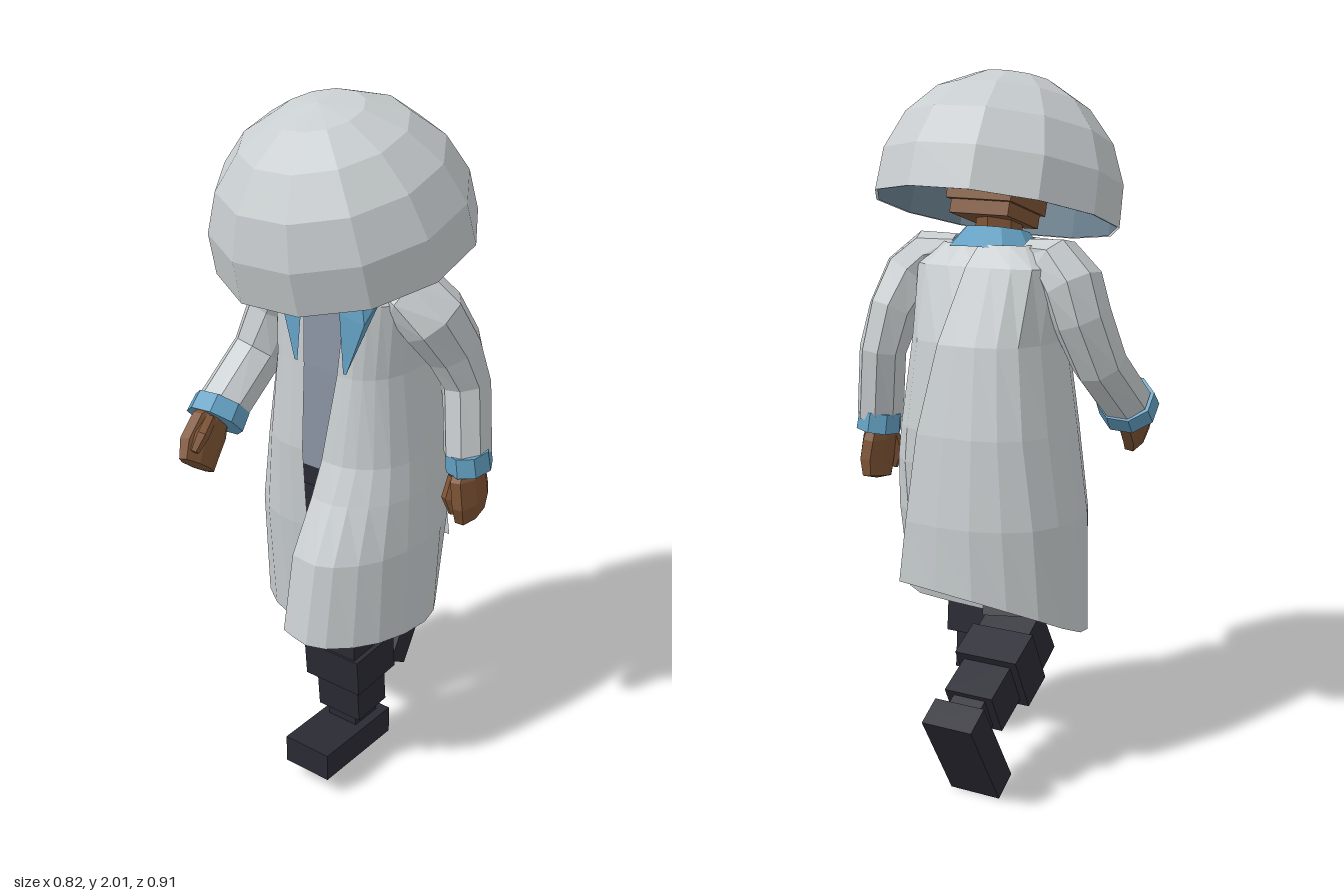
import * as THREE from 'three';

const mat = (name, color, side = THREE.FrontSide) =>
  new THREE.MeshStandardMaterial({ name, color, side, flatShading: true });
const V = (x, y, z) => new THREE.Vector3(x, y, z);

// Surface through rows of points; closed rows wrap round
function loft(rows, closed = false) {
  const n = rows[0].length, pos = [];
  const put = (...ps) => ps.forEach((p) => pos.push(p.x, p.y, p.z));
  for (let i = 0; i < rows.length - 1; i++) {
    for (let j = 0; j < (closed ? n : n - 1); j++) {
      const k = (j + 1) % n;
      const a = rows[i][j], b = rows[i][k], c = rows[i + 1][j], d = rows[i + 1][k];
      put(a, b, c, b, d, c);
    }
  }
  const g = new THREE.BufferGeometry();
  g.setAttribute('position', new THREE.Float32BufferAttribute(pos, 3));
  g.computeVertexNormals();
  return g;
}

// Rings [x, y, z, width radius, depth radius] swept along a path
function limb(rings, sides) {
  const pts = rings.map((r) => V(r[0], r[1], r[2]));
  return loft(rings.map((r, i) => {
    const t = pts[Math.min(i + 1, pts.length - 1)].clone().sub(pts[Math.max(i - 1, 0)]).normalize();
    const u = V(1, 0, 0).addScaledVector(t, -t.x).normalize();
    const v = t.clone().cross(u);
    return Array.from({ length: sides }, (_, j) => {
      const a = ((j + 0.5) / sides) * Math.PI * 2;
      return pts[i].clone().addScaledVector(u, Math.cos(a) * r[3]).addScaledVector(v, Math.sin(a) * r[4]);
    });
  }), true);
}

// Row of a coat panel: smooth line through [x, z, y?] points
function coatRow(y, pts) {
  const curve = new THREE.CatmullRomCurve3(pts.map((p) => V(p[0], p[2] ?? y, p[1])));
  return curve.getPoints(12);
}

export function createModel() {
  const root = new THREE.Group();
  root.name = 'walkingFigure';
  const D = THREE.DoubleSide;
  const coat = mat('coatGrey', 0xc8cdcf, D);
  const blue = mat('trimBlue', 0x64a1c4, D);
  const skin = mat('skinBrown', 0x7e5435, D);
  const dark = mat('trouserBlack', 0x2a2a34);
  const shirt = mat('shirtGrey', 0x8a93a3, D);
  const lining = mat('hatLining', 0x697f8e, D);

  const add = (name, geo, m, parent = root, p = [0, 0, 0]) => {
    const mesh = new THREE.Mesh(geo, m);
    mesh.name = name;
    mesh.position.set(...p);
    parent.add(mesh);
    return mesh;
  };
  const box = (name, w, h, d, m, parent, p) => add(name, new THREE.BoxGeometry(w, h, d), m, parent, p);

  // Domed hat with the head under it, tipped forward
  const head = new THREE.Group();
  head.name = 'head';
  head.position.set(0.025, 1.637, 0.106);
  head.rotation.set(0.27, 0, 0.02);
  root.add(head);
  const dome = (r) => new THREE.SphereGeometry(r, 12, 5, 0, Math.PI * 2, 0, 1.69).rotateY(Math.PI / 12 + 0.03);
  add('hat', dome(0.364), coat, head);
  add('hatLining', dome(0.357), lining, head);
  box('skull', 0.21, 0.25, 0.22, skin, head, [0, 0.1, -0.005]);
  box('jaw', 0.19, 0.07, 0.19, skin, head, [0, -0.03, -0.005]);
  for (const s of [-1, 1]) box('ear', 0.03, 0.06, 0.05, skin, head, [s * 0.11, 0.06, -0.01]);
  add('neck', new THREE.CylinderGeometry(0.065, 0.07, 0.16, 6), skin, root, [0.01, 1.55, 0.085]);

  // Coat: two open panels overlapping at the back vent
  const leftPanel = [
    coatRow(1.52, [[0.1, 0.17], [0.12, 0.16], [0.15, 0.12], [0.17, 0.06], [0.13, -0.02], [0, -0.045]]),
    coatRow(1.46, [[0.09, 0.19], [0.14, 0.18], [0.2, 0.13], [0.23, 0.04], [0.18, -0.07], [0, -0.08]]),
    coatRow(1.25, [[0.07, 0.2], [0.13, 0.195], [0.19, 0.14], [0.215, 0.02], [0.17, -0.13], [0, -0.165]]),
    coatRow(1.0, [[0.045, 0.24], [0.13, 0.235], [0.22, 0.17], [0.25, 0.02], [0.19, -0.16], [-0.01, -0.205]]),
    coatRow(0.9, [[0.04, 0.28], [0.13, 0.28], [0.235, 0.2], [0.265, 0.03], [0.2, -0.16], [-0.02, -0.205]]),
    coatRow(0.75, [[0.035, 0.36], [0.14, 0.365], [0.25, 0.25], [0.28, 0.04], [0.2, -0.15], [-0.04, -0.19]]),
    coatRow(0.5, [[0.03, 0.4, 0.52], [0.14, 0.41, 0.51], [0.26, 0.28], [0.29, 0.06, 0.485], [0.21, -0.08, 0.48], [-0.06, -0.13, 0.48]]),
  ].map((r) => r.reverse());
  const rightPanel = [
    coatRow(1.52, [[-0.07, 0.17], [-0.12, 0.16], [-0.15, 0.12], [-0.17, 0.06], [-0.13, -0.02], [-0.05, -0.048], [0, -0.05]]),
    coatRow(1.46, [[-0.05, 0.19], [-0.14, 0.18], [-0.2, 0.13], [-0.23, 0.04], [-0.18, -0.07], [-0.06, -0.09], [0.02, -0.09]]),
    coatRow(1.25, [[-0.045, 0.2], [-0.13, 0.195], [-0.19, 0.14], [-0.215, 0.02], [-0.17, -0.13], [-0.06, -0.18], [0.06, -0.18]]),
    coatRow(1.0, [[-0.04, 0.22], [-0.13, 0.215], [-0.225, 0.145], [-0.26, 0], [-0.205, -0.17], [-0.08, -0.235], [0.1, -0.23]]),
    coatRow(0.75, [[-0.035, 0.21], [-0.14, 0.21], [-0.26, 0.14], [-0.3, -0.01], [-0.245, -0.18], [-0.09, -0.265], [0.12, -0.26]]),
    coatRow(0.42, [[-0.03, 0.18, 0.385], [-0.14, 0.175, 0.39], [-0.275, 0.11, 0.4], [-0.318, -0.02, 0.42], [-0.26, -0.17, 0.49], [-0.1, -0.268, 0.55], [0.14, -0.265, 0.57]]),
  ];
  add('coatLeftPanel', loft(leftPanel), coat);
  add('coatRightPanel', loft(rightPanel), coat);

  // Shirt front
  add('shirt', loft([[1.53, 0.14], [1.46, 0.175], [1.25, 0.187], [0.94, 0.195]].map(([y, z]) =>
    [-0.12, -0.06, 0.07, 0.12].map((x, i) => V(x, y, z - (i % 3 ? 0 : 0.03))))), shirt);

  // Collar with two pointed flaps folded round the sides
  const collar = add('collar', new THREE.CylinderGeometry(0.095, 0.145, 0.065, 10, 1, true), blue, root, [0.015, 1.519, 0.078]);
  collar.rotation.x = 0.2;
  for (const s of [-1, 1]) {
    const px = (x) => 0.025 + s * x;
    add('collarFlap', loft([
      [V(px(0.065), 1.495, 0.215), V(px(0.125), 1.51, 0.195), V(px(0.165), 1.525, 0.13)],
      [V(px(0.065), 1.44, 0.213), V(px(0.142), 1.42, 0.205), V(px(0.168), 1.49, 0.165)],
      [V(px(0.08), 1.27, 0.217), V(px(0.09), 1.27, 0.217), V(px(0.142), 1.42, 0.205)],
    ]), blue);
  }

  // Sleeves with full shoulders
  add('leftSleeve', limb([
    [0.11, 1.5, 0.05, 0.04, 0.06], [0.2, 1.475, 0.045, 0.075, 0.1], [0.26, 1.41, 0.02, 0.09, 0.1],
    [0.29, 1.31, -0.04, 0.075, 0.09], [0.31, 1.2, -0.075, 0.068, 0.075], [0.335, 1.0, -0.055, 0.067, 0.077]], 8), coat);
  add('rightSleeve', limb([
    [-0.11, 1.5, 0.05, 0.04, 0.06], [-0.19, 1.475, 0.05, 0.075, 0.1], [-0.25, 1.41, 0.035, 0.09, 0.1],
    [-0.28, 1.32, 0.04, 0.085, 0.09], [-0.315, 1.19, 0.085, 0.08, 0.078], [-0.33, 1.06, 0.23, 0.082, 0.072]], 8), coat);

  // Cuffs and hands, built pointing down and turned to the forearm
  const hands = [
    { name: 'left', p: [0.338, 0.985, -0.055], rot: [0.06, 0.1, 0.1], w: 0.066, s: 1, twist: 0.4 },
    { name: 'right', p: [-0.33, 1.045, 0.25], rot: [-0.8, 0, 0.08], w: 0.087, s: -1, twist: 0 },
  ];
  for (const h of hands) {
    const g = new THREE.Group();
    g.name = h.name + 'Hand';
    g.position.set(...h.p);
    g.rotation.set(...h.rot);
    root.add(g);
    const cuff = add('cuff', new THREE.CylinderGeometry(1, 1.04, 0.058, 8).rotateY(Math.PI / 8), blue, g);
    cuff.scale.set(h.w, 1, 0.083);
    cuff.rotation.y = h.twist;
    add('palm', limb([
      [0, 0, 0, 0.03, 0.05], [0, -0.05, 0.012, 0.042, 0.08], [0, -0.12, 0.012, 0.042, 0.086],
      [-0.01 * h.s, -0.172, 0.004, 0.034, 0.075], [-0.01 * h.s, -0.18, 0.004, 0.001, 0.001]], 8), skin, g);
    add('thumb', limb([
      [-0.02 * h.s, -0.04, 0.05, 0.02, 0.02], [-0.035 * h.s, -0.1, 0.07, 0.022, 0.022],
      [-0.03 * h.s, -0.15, 0.065, 0.014, 0.014], [-0.03 * h.s, -0.152, 0.065, 0.001, 0.001]], 6), skin, g);
  }

  // Hips and thighs
  box('hips', 0.32, 0.1, 0.24, dark, root, [0, 0.9, 0.03]);
  add('leftThigh', limb([[0.1, 0.9, 0.05, 0.11, 0.12], [0.1, 0.65, 0.14, 0.11, 0.12], [0.1, 0.43, 0.18, 0.1, 0.1]], 4), dark);
  add('rightThigh', limb([[-0.09, 0.9, 0.03, 0.115, 0.12], [-0.092, 0.6, 0.04, 0.115, 0.11], [-0.115, 0.43, -0.04, 0.105, 0.095]], 4), dark);

  // Lower legs with boots, origin at the sole under the ankle
  const legs = [
    { name: 'left', p: [0.098, 0.05, 0.17], turn: 0 },
    { name: 'right', p: [-0.127, 0.182, -0.412], turn: 1.02 },
  ];
  for (const l of legs) {
    const g = new THREE.Group();
    g.name = l.name + 'LowerLeg';
    g.position.set(...l.p);
    g.rotation.x = l.turn;
    root.add(g);
    box('foot', 0.155, 0.085, 0.3, dark, g, [0, 0.0425, 0.07]);
    box('ankle', 0.1, 0.06, 0.1, dark, g, [0, 0.105, 0]);
    const shin = box('shin', 0.15, 0.13, 0.13, dark, g, [0, 0.19, 0.005]);
    const band = box('bootBand', 0.195, 0.115, 0.175, dark, g, [0, 0.302, 0.013]);
    shin.rotation.x = band.rotation.x = 0.07;
    box('knee', 0.165, 0.11, 0.16, dark, g, [0, 0.405, 0.018]);
  }
  return root;
}
